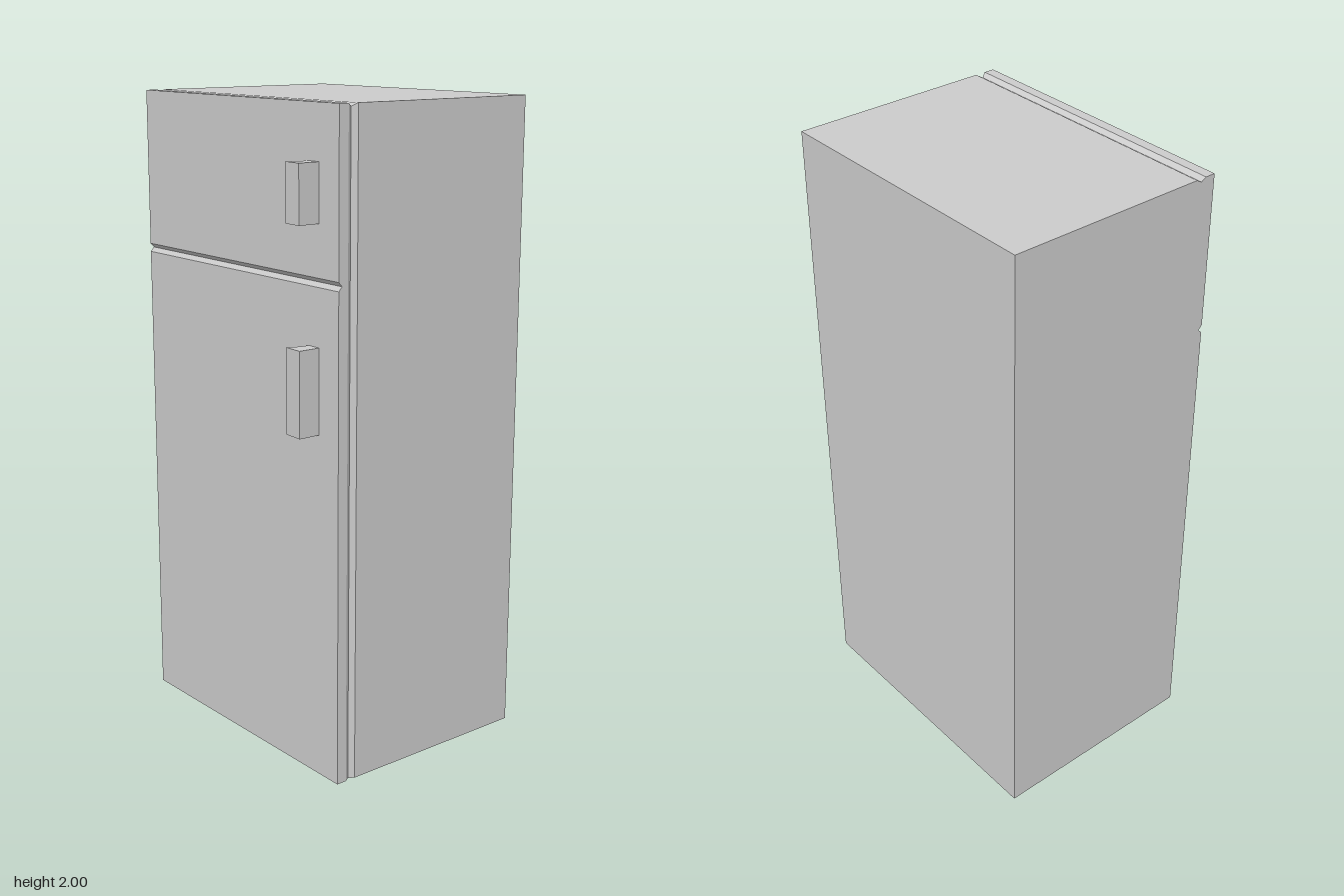
import * as THREE from 'three';

const material = new THREE.MeshStandardMaterial({ color: 0xcccccc, flatShading: true });
const HALF = 0.475, HEIGHT = 2, SPLIT = 1.505;

// Skins rectangular sections [x0, x1, y0, y1, z], listed back to front, and caps both ends.
function loft(name, sections) {
  const positions = [], index = [];
  for (const [x0, x1, y0, y1, z] of sections) {
    positions.push(x0, y0, z, x1, y0, z, x1, y1, z, x0, y1, z);
  }
  for (let s = 0; s < sections.length - 1; s++) {
    for (let i = 0; i < 4; i++) {
      const a = s * 4 + i, b = s * 4 + (i + 1) % 4;
      index.push(a, b, b + 4, a, b + 4, a + 4);
    }
  }
  const e = (sections.length - 1) * 4;
  index.push(0, 2, 1, 0, 3, 2, e, e + 1, e + 2, e, e + 2, e + 3);
  const geometry = new THREE.BufferGeometry();
  geometry.setAttribute('position', new THREE.Float32BufferAttribute(positions, 3));
  geometry.setIndex(index);
  const flat = geometry.toNonIndexed();
  flat.computeVertexNormals();
  const mesh = new THREE.Mesh(flat, material);
  mesh.name = name;
  return mesh;
}

// Vertical grip with a concave inner face, flaring outwards from the door
function handle(name, y0, y1) {
  const shape = new THREE.Shape();
  shape.moveTo(0.341, -0.315);
  shape.lineTo(0.341, -0.335);
  shape.quadraticCurveTo(0.338, -0.365, 0.323, -0.387);
  shape.lineTo(0.388, -0.39);
  shape.lineTo(0.388, -0.315);
  shape.closePath();
  const geometry = new THREE.ExtrudeGeometry(shape, { depth: y1 - y0, bevelEnabled: false, curveSegments: 4 });
  geometry.rotateX(-Math.PI / 2).translate(0, y0, 0);
  const mesh = new THREE.Mesh(geometry, material);
  mesh.name = name;
  return mesh;
}

export function createModel() {
  const model = new THREE.Group();
  model.name = 'refrigerator';
  const inX = HALF - 0.011, inY = HEIGHT - 0.01;

  // Cabinet, tapering into the V seam on its opening side and top
  model.add(loft('cabinet', [
    [-HALF, HALF, 0, HEIGHT, -0.39],
    [-HALF, HALF, 0, HEIGHT, 0.253],
    [-HALF, inX, 0, inY, 0.27],
  ]));

  // Doors, with bevels forming the groove between them
  model.add(loft('refrigeratorDoor', [
    [-HALF, inX, 0, SPLIT, 0.27],
    [-HALF, HALF, 0, SPLIT, 0.287],
    [-HALF, HALF, 0, SPLIT, 0.308],
    [-HALF, HALF, 0, SPLIT - 0.013, 0.32],
  ]));
  model.add(loft('freezerDoor', [
    [-HALF, inX, SPLIT, inY, 0.27],
    [-HALF, HALF, SPLIT, HEIGHT, 0.287],
    [-HALF, HALF, SPLIT, HEIGHT, 0.308],
    [-HALF, HALF, SPLIT + 0.013, HEIGHT, 0.32],
  ]));

  model.add(handle('refrigeratorHandle', 1.065, 1.32));
  model.add(handle('freezerHandle', 1.67, 1.84));
  return model;
}
